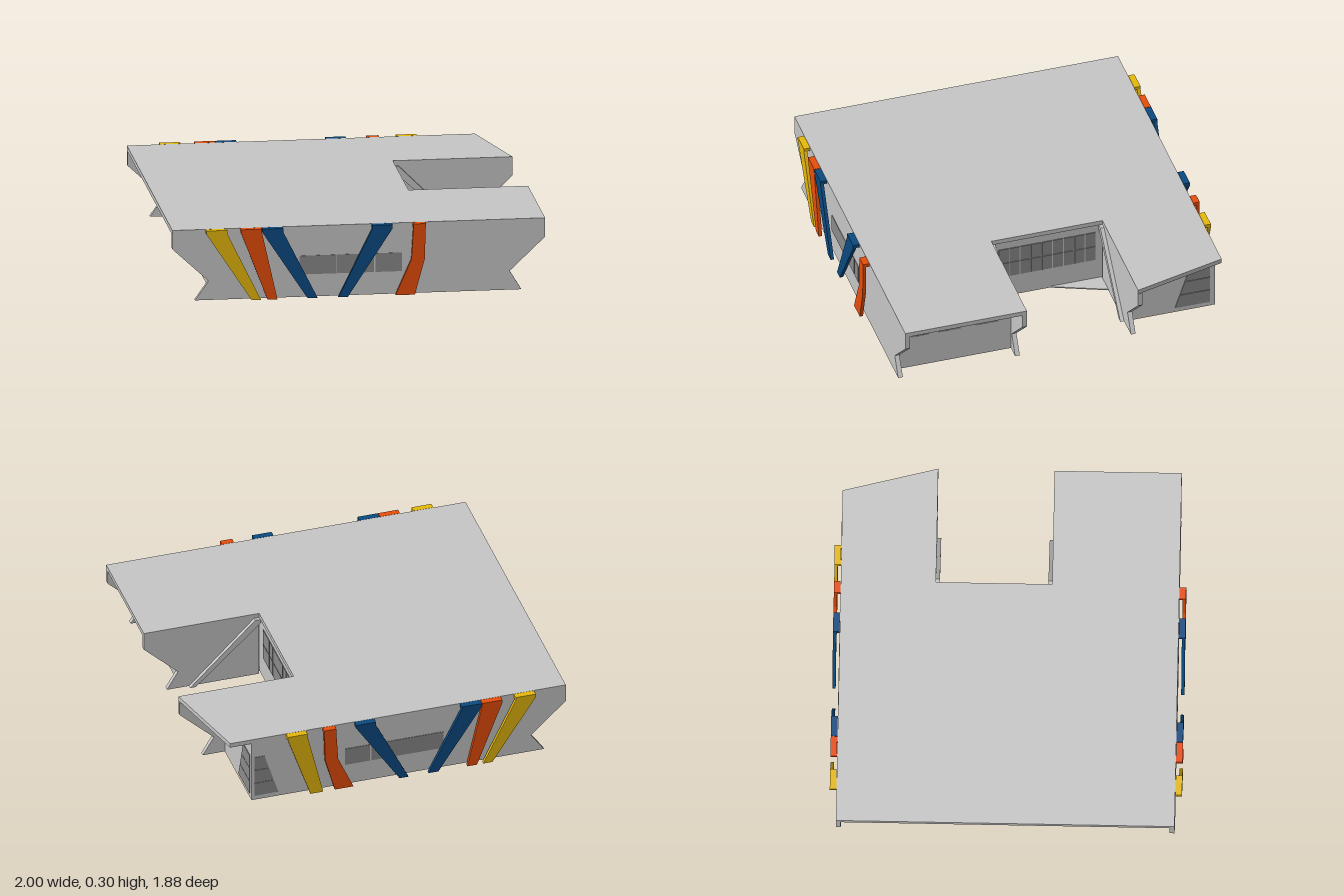
import * as THREE from 'three';

const mat = (name, color) => {
  const m = new THREE.MeshStandardMaterial({ color });
  m.name = name;
  return m;
};

export function createModel() {
  const shell = mat('shell grey', 0xc6c6c6);
  const glass = mat('window grey', 0x8a8a8a);
  const ground = mat('floor tan', 0xe0cba6);
  const yellow = mat('yellow', 0xe6b80c);
  const orange = mat('orange', 0xee500c);
  const blue = mat('blue', 0x0a4a80);

  // The plan is square to its own axes, then turned as a whole
  const model = new THREE.Group();
  model.name = 'building';
  const plan = new THREE.Group();
  plan.name = 'turnedPlan';
  plan.rotation.y = 0.449;
  model.add(plan);

  const add = (name, geometry, material) => {
    const mesh = new THREE.Mesh(geometry, material);
    mesh.name = name;
    plan.add(mesh);
  };
  const extrude = (points, depth) => new THREE.ExtrudeGeometry(
    new THREE.Shape(points.map(([x, y]) => new THREE.Vector2(x, y))),
    { depth, bevelEnabled: false });
  // Horizontal slab from [x, z] points, between y0 and y1
  const slab = (name, pts, y0, y1, m) => add(name,
    extrude(pts.map(([x, z]) => [x, -z]), y1 - y0).rotateX(-Math.PI / 2).translate(0, y0, 0), m);
  // Upright plate from [x, y] points, between z0 and z1
  const plateZ = (name, pts, z0, z1, m) => add(name, extrude(pts, z1 - z0).translate(0, 0, z0), m);
  // Upright plate from [z, y] points, between x0 and x1
  const plateX = (name, pts, x0, x1, m) => add(name,
    extrude(pts.map(([z, y]) => [-z, y]), x1 - x0).rotateY(Math.PI / 2).translate(x0, 0, 0), m);
  const rect = (a0, a1, b0, b1) => [[a0, b0], [a1, b0], [a1, b1], [a0, b1]];

  const W = -0.762, E = 0.784, N = -0.719, S = 0.673;
  const notchX = 0.288, notchN = -0.328, notchS = 0.15, under = 0.28;

  // Roof with the courtyard notch and the slanted north-east edge
  slab('roof', [[W, N], [0.682, N], [E, notchN], [notchX, notchN],
    [notchX, notchS], [E, notchS], [E, S], [W, S]], under, 0.3, shell);

  // Long walls whose ends kink inwards below the roof
  const westEnd = [[W, under], [W, 0.22], [-0.612, 0.08], [-0.668, 0]];
  const eastEnd = [[0.685, 0], [0.637, 0.08], [E, 0.22], [E, under]];
  plateZ('frontWall', [...westEnd, ...eastEnd], S - 0.02, S, shell);
  plateZ('backWall', [...westEnd, [0.59, 0], [0.59, under]], N, N + 0.02, shell);
  const wing = [[notchX, under], [notchX, 0], ...eastEnd];
  plateZ('backWingInnerWall', wing, notchN - 0.02, notchN, shell);
  plateZ('frontWingInnerWall', wing, notchS, notchS + 0.02, shell);

  // Recessed end walls and the courtyard wall
  plateX('westWall', rect(N + 0.02, S - 0.02, 0, under), -0.585, -0.57, shell);
  plateX('frontWingEndWall', rect(notchS + 0.02, S - 0.02, 0, under), 0.61, 0.625, shell);
  plateX('backWingEndWall', rect(N + 0.02, notchN - 0.02, 0, under), 0.575, 0.59, shell);
  plateX('courtyardWall', rect(notchN - 0.02, notchS + 0.02, 0, under), 0.265, 0.28, shell);

  // Floors
  slab('mainFloor', [[-0.585, N + 0.02], [0.59, N + 0.02], [0.59, notchN - 0.02], [0.28, notchN - 0.02],
    [0.28, 0.3], [0.36, 0.3], [0.36, 0.46], [0.28, 0.46], [0.28, S - 0.02], [-0.585, S - 0.02]],
  -0.001, 0.008, ground);
  slab('frontWingFloor', [[0.28, notchS + 0.02], [0.625, notchS + 0.02], [0.625, S - 0.02],
    [0.28, S - 0.02], [0.28, 0.46], [0.36, 0.46], [0.36, 0.3], [0.28, 0.3]], -0.001, 0.008, shell);
  slab('courtyardStep', [[0.28, notchN], [0.37, notchN], [0.28, -0.1]], 0, 0.005, shell);

  // Diagonal braces on both sides of the courtyard
  const brace = [[0.286, under], [0.286, 0.262], [0.565, 0], [0.59, 0], [0.31, under]];
  plateZ('backBrace', brace, notchN, notchN + 0.016, shell);
  plateZ('frontBrace', brace, notchS - 0.016, notchS, shell);

  // Window panes in a grid on a wall; put receives the corners of one pane
  const panes = (a0, a1, b0, b1, cols, rows, gap, put) => {
    const da = (a1 - a0) / cols, db = (b1 - b0) / rows;
    for (let i = 0; i < cols; i++) {
      for (let j = 0; j < rows; j++) {
        put(rect(a0 + i * da, a0 + (i + 1) * da - gap, b0 + j * db, b0 + (j + 1) * db - gap));
      }
    }
  };
  // Long facades
  for (const [a, b] of [[-0.235, 0.075], [0.08, 0.19]]) {
    panes(a, b, 0.095, 0.175, 2, 1, 0.001, p => plateZ('frontWindow', p, S, S + 0.002, glass));
    panes(a, b, 0.095, 0.175, 2, 1, 0.001, p => plateZ('backWindow', p, N - 0.002, N, glass));
  }
  // West wall in groups
  for (let g = 0; g < 5; g++) {
    const z = -0.6 + g * 0.23;
    panes(z, z + 0.226, 0.09, 0.236, 5, 2, 0.0025,
      p => plateX('westWindow', p, -0.588, -0.585, glass));
  }
  // Courtyard wall
  panes(-0.3, 0.12, 0.1, 0.245, 9, 2, 0.004, p => plateX('courtyardWindow', p, 0.28, 0.283, glass));
  // Front wing end wall
  for (const [a, b] of [[0.52, 0.6], [0.385, 0.48], [0.225, 0.325]]) {
    panes(a, b, 0.15, 0.182, 3, 1, 0.002, p => plateX('frontWingWindow', p, 0.625, 0.628, glass));
  }
  // Slanted corner glazing of the back wing, in three bands
  const slant = (y, a, b) => a + (b - a) * (y - 0.02) / 0.19;
  for (let i = 0; i < 3; i++) {
    const y0 = 0.02 + i * 0.064, y1 = y0 + 0.062;
    plateX('cornerEndWindow', [[-0.697, y0], [slant(y0, -0.546, -0.61), y0],
      [slant(y1, -0.546, -0.61), y1], [-0.697, y1]], 0.59, 0.593, glass);
    plateZ('cornerBackWindow', [[slant(y0, 0.475, 0.535), y0], [0.578, y0],
      [0.578, y1], [slant(y1, 0.475, 0.535), y1]], N - 0.002, N, glass);
  }

  // Leaning coloured struts: top and bottom x ranges, optional knee
  const struts = [
    { name: 'yellowStrut', m: yellow, top: [-0.624, -0.538], low: [-0.437, -0.398] },
    { name: 'orangeStrut', m: orange, top: [-0.48, -0.394], low: [-0.371, -0.33] },
    { name: 'blueStrut', m: blue, top: [-0.392, -0.306], low: [-0.205, -0.163] },
    { name: 'innerBlueStrut', m: blue, top: [0.064, 0.148], low: [-0.077, -0.038] },
    { name: 'kneedOrangeStrut', m: orange, top: [0.234, 0.285], low: [0.16, 0.24], knee: [0.226, 0.281] },
    { name: 'backYellowStrut', m: yellow, top: [0.357, 0.442], low: [0.29, 0.345], backOnly: true },
  ];
  for (const { name, m, top, low, knee, backOnly } of struts) {
    const outline = [[low[0], 0], [low[1], 0]];
    if (knee) outline.push([knee[1], 0.15]);
    outline.push([top[1], 0.285], [top[0], 0.285]);
    if (knee) outline.push([knee[0], 0.15]);
    const cap = rect(top[0], top[1], 0.285, 0.3);
    if (!backOnly) {
      plateZ(name, outline, S + 0.014, S + 0.028, m);
      plateZ(name + 'Cap', cap, S + 0.001, S + 0.028, m);
    }
    plateZ(name, outline, N - 0.028, N - 0.014, m);
    plateZ(name + 'Cap', cap, N - 0.028, N - 0.001, m);
  }
  return model;
}
